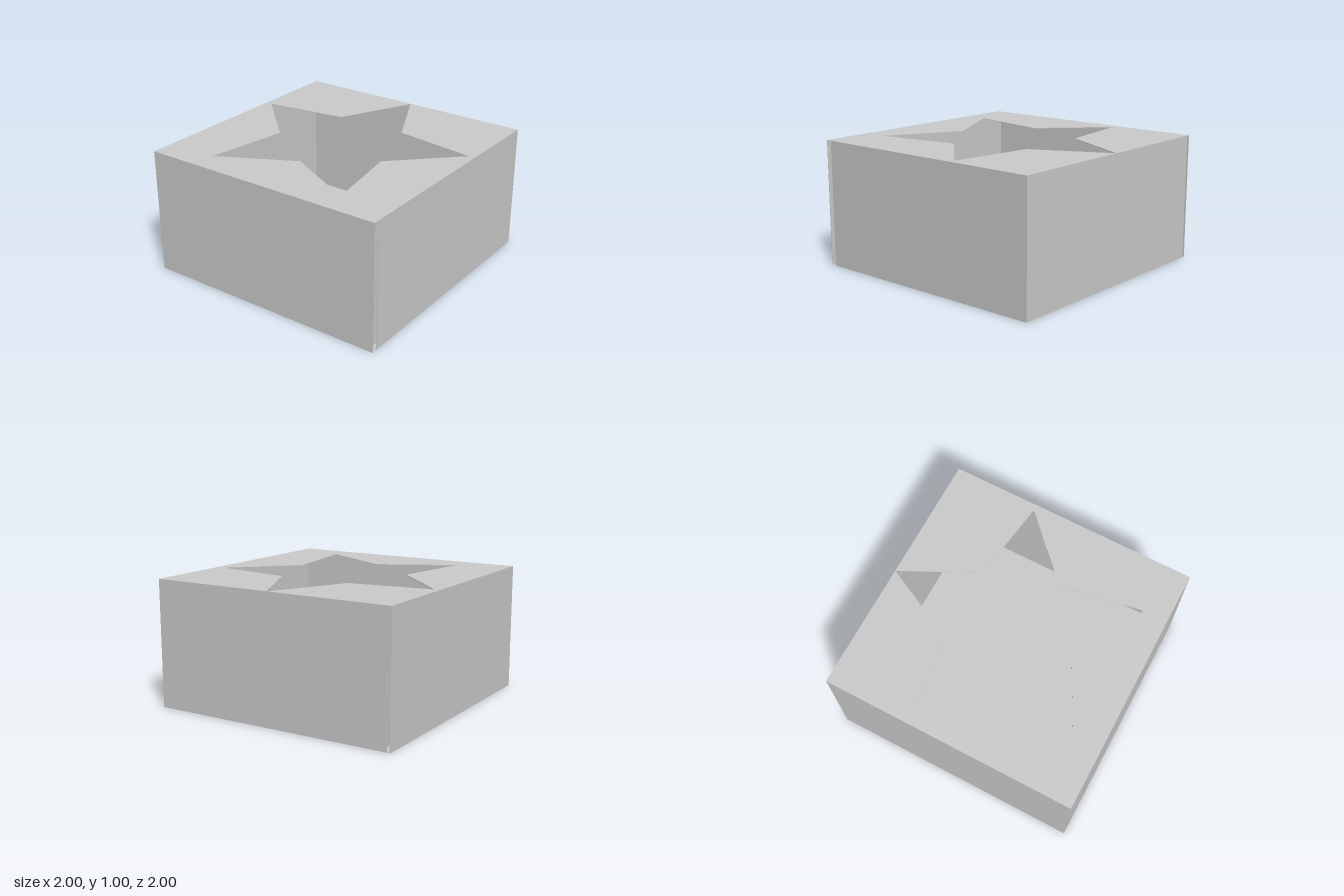
import * as THREE from 'three';

const T = 0.004; // sheet thickness

export function createModel() {
  const model = new THREE.Group();
  const material = new THREE.MeshStandardMaterial({ color: 0xcccccc, side: THREE.DoubleSide });

  // Thin sheet given by its lower and upper corners
  function panel(name, [x0, y0, z0], [x1, y1, z1]) {
    const mesh = new THREE.Mesh(new THREE.BoxGeometry(x1 - x0, y1 - y0, z1 - z0), material);
    mesh.position.set((x0 + x1) / 2, (y0 + y1) / 2, (z0 + z1) / 2);
    mesh.name = name;
    model.add(mesh);
  }

  // Outer sleeve, with narrow seams at the left front, left bottom and back right edges
  const gapX = 0.955, gapZ = 0.975;
  panel('outerFront', [-gapX, 0, 1 - T], [1, 1 - T, 1]);
  panel('outerBack', [-1, 0, -1], [1, 1 - T, -1 + T]);
  panel('outerLeft', [-1, 0, -1 + T], [-1 + T, 1 - T, 1]);
  panel('outerRight', [1 - T, 0, -gapZ], [1, 1 - T, 1 - T]);
  panel('outerFloor', [-gapX, 0, -1 + T], [1 - T, T, 1 - T]);

  // Inner tray standing just inside the sleeve
  const floorY = 0.035, rim = 1 - T - 0.001;
  for (const [side, s] of [['Left', -1], ['Right', 1]]) {
    const x = s * (gapX - T / 2);
    panel('inner' + side, [x - T / 2, floorY, -gapZ], [x + T / 2, rim, gapZ]);
  }
  for (const [side, s] of [['Back', -1], ['Front', 1]]) {
    const z = s * (gapZ - T / 2);
    panel('inner' + side, [-gapX, floorY, z - T / 2], [gapX, rim, z + T / 2]);
  }
  panel('innerFloor', [-gapX, floorY - T, -gapZ], [gapX, floorY, gapZ]);

  // Lid with a five-pointed star cut-out
  const square = [[-1, -1], [1, -1], [1, 1], [-1, 1]].map(([x, y]) => new THREE.Vector2(x, y));
  const star = [];
  for (let i = 0; i < 10; i++) {
    const r = i % 2 ? 0.5 : 0.999;
    const a = -i * Math.PI / 5;
    star.push(new THREE.Vector2(r * Math.cos(a), r * Math.sin(a)));
  }
  const lidShape = new THREE.Shape(square);
  lidShape.holes.push(new THREE.Path(star));
  const lidGeometry = new THREE.ExtrudeGeometry(lidShape, { depth: T, bevelEnabled: false });
  lidGeometry.rotateX(-Math.PI / 2);
  const lid = new THREE.Mesh(lidGeometry, material);
  lid.position.y = 1 - T;
  lid.name = 'starLid';
  model.add(lid);

  return model;
}
